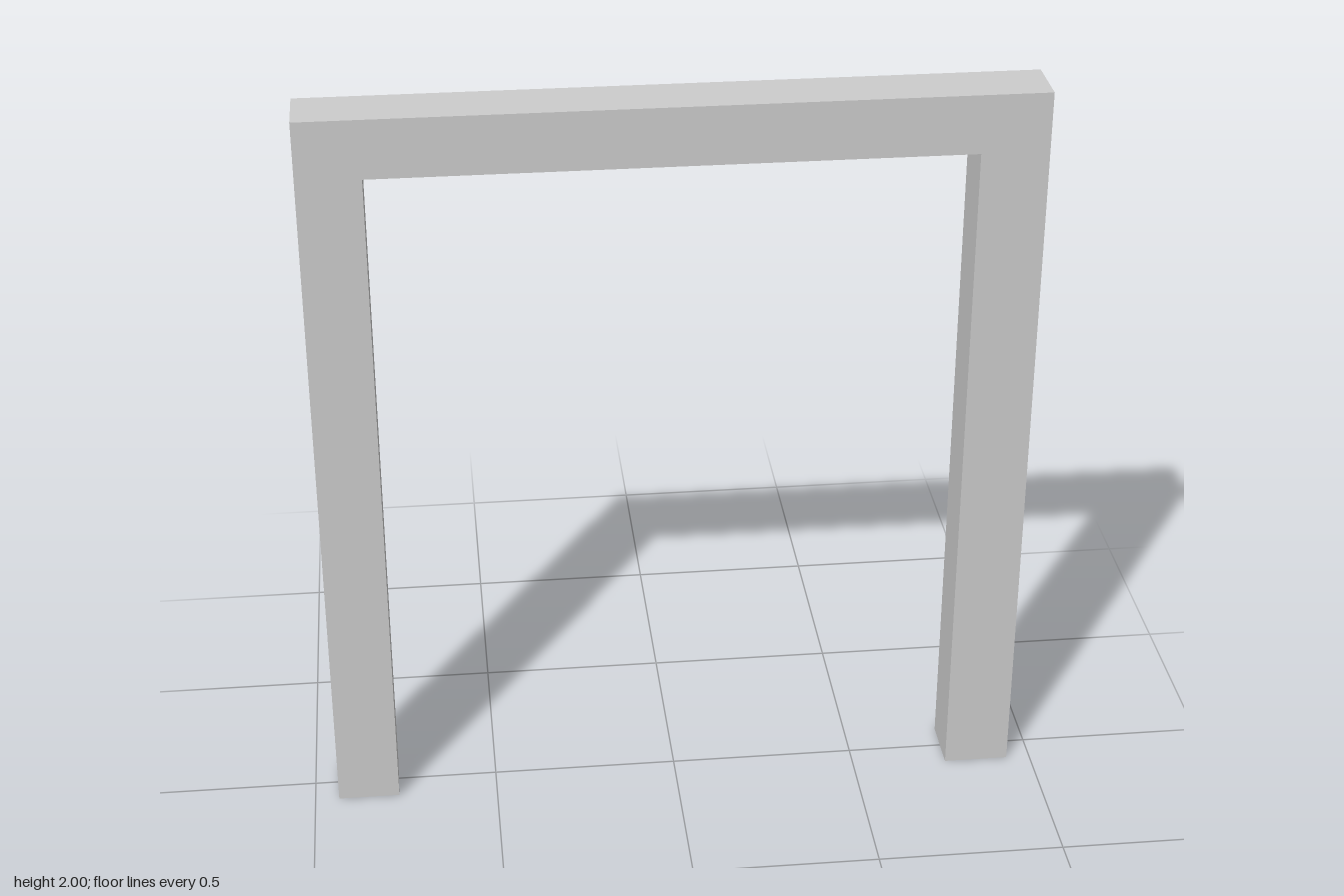
import * as THREE from 'three';

// Door-frame profile: two posts joined by a lintel, in one solid piece
const HALF_WIDTH = 0.935;
const HEIGHT = 2;
const DEPTH = 0.156;
const OPENING = { right: -0.77, left: 0.76, top: 1.844 };

export function createModel() {
  const profile = new THREE.Shape([
    [-HALF_WIDTH, 0],
    [OPENING.right, 0],
    [OPENING.right, OPENING.top],
    [OPENING.left, OPENING.top],
    [OPENING.left, 0],
    [HALF_WIDTH, 0],
    [HALF_WIDTH, HEIGHT],
    [-HALF_WIDTH, HEIGHT],
  ].map(([x, y]) => new THREE.Vector2(x, y)));

  const geometry = new THREE.ExtrudeGeometry(profile, { depth: DEPTH, bevelEnabled: false });
  geometry.translate(0, 0, -DEPTH / 2);

  const frame = new THREE.Mesh(
    geometry,
    new THREE.MeshStandardMaterial({ color: 0xcccccc, flatShading: true }),
  );
  frame.name = 'doorFrame';

  const model = new THREE.Group();
  model.name = 'doorway';
  model.add(frame);
  return model;
}
